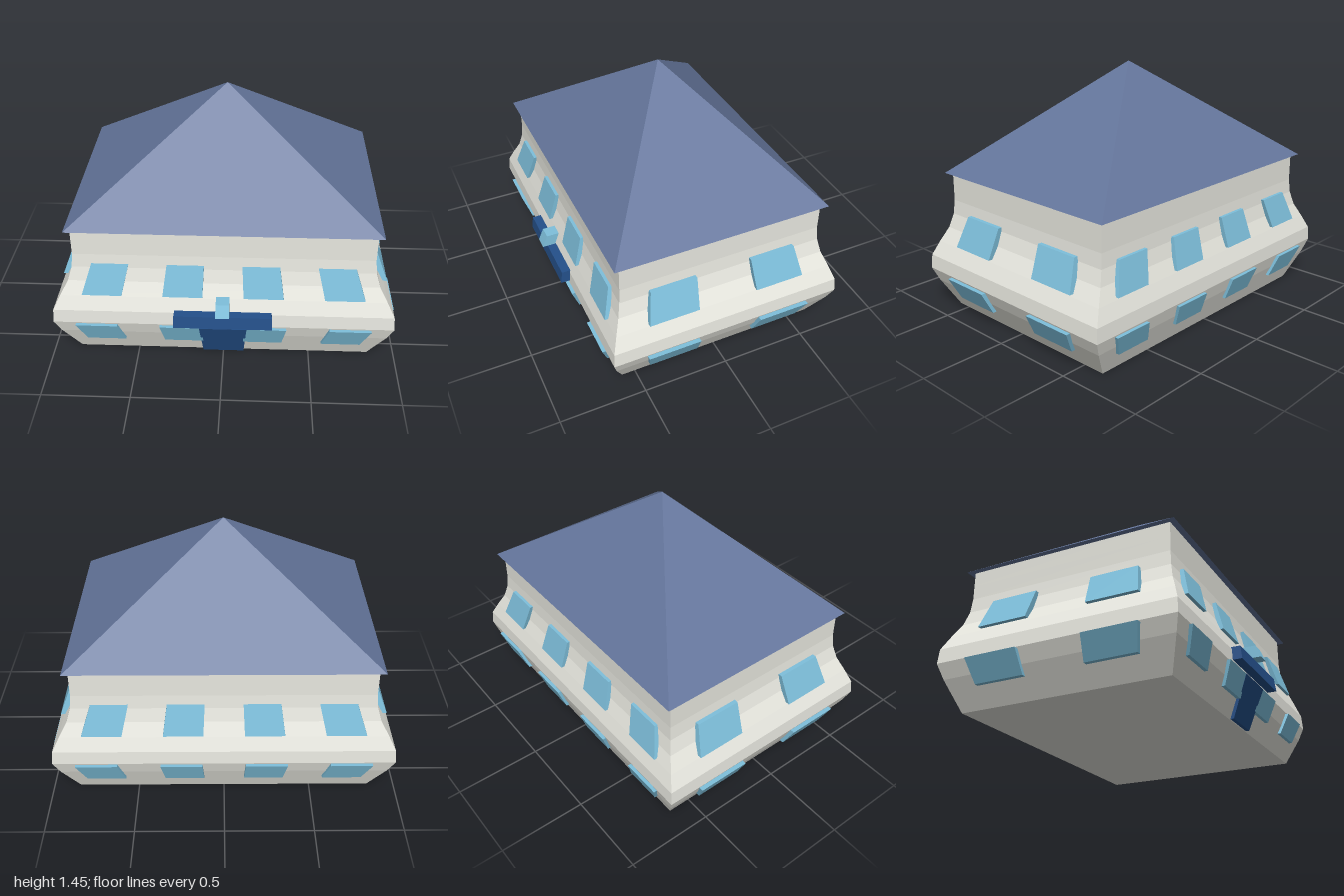
import * as THREE from 'three';

const HEIGHT = 0.83, HALF_X = 0.845, HALF_Z = 0.604, CENTRE_Z = -0.027;
// How far the walls swell, at eleven even heights from ground to eaves
const SWELL = [1, 1.055, 1.11, 1.153, 1.145, 1.095, 1.04, 1.01, 1, 1, 1];

function swellAt(y) {
  const t = THREE.MathUtils.clamp((y / HEIGHT) * 10, 0, 10);
  const i = Math.min(Math.floor(t), 9);
  return THREE.MathUtils.lerp(SWELL[i], SWELL[i + 1], t - i);
}

const paint = (color) => new THREE.MeshStandardMaterial({ color, flatShading: true });

export function createModel() {
  const house = new THREE.Group();
  house.name = 'house';
  const wall = paint(0xe8e8e0), glass = paint(0x7ec0dc), navy = paint(0x24508a), slate = paint(0x64759b);

  // A box between two corners, swollen sideways by the same rule as the walls
  function swollenBox(name, material, [x0, x1], [y0, y1], [z0, z1], rows = 1) {
    const g = new THREE.BoxGeometry(x1 - x0, y1 - y0, z1 - z0, 1, rows, 1);
    g.translate((x0 + x1) / 2, (y0 + y1) / 2, (z0 + z1) / 2);
    const p = g.attributes.position;
    for (let i = 0; i < p.count; i++) {
      const s = swellAt(p.getY(i));
      p.setXYZ(i, p.getX(i) * s, p.getY(i), p.getZ(i) * s + CENTRE_Z);
    }
    g.computeVertexNormals();
    const mesh = new THREE.Mesh(g, material);
    mesh.name = name;
    house.add(mesh);
  }

  // Bulging walls
  swollenBox('walls', wall, [-HALF_X, HALF_X], [0, HEIGHT], [-HALF_Z, HALF_Z], 10);

  // Two floors of windows: four on front and back, two on each side
  const floors = { lower: [0.11, 0.24], upper: [0.43, 0.605] };
  for (const [floor, ys] of Object.entries(floors)) {
    for (const x of [-0.632, -0.211, 0.211, 0.632]) {
      const xs = [x - 0.104, x + 0.104];
      swollenBox(floor + 'FrontWindow', glass, xs, ys, [0.594, 0.622]);
      swollenBox(floor + 'BackWindow', glass, xs, ys, [-0.622, -0.594]);
    }
    for (const z of [-0.3, 0.3]) {
      const zs = [z - 0.136, z + 0.136];
      swollenBox(floor + 'LeftWindow', glass, [0.832, 0.868], ys, zs);
      swollenBox(floor + 'RightWindow', glass, [-0.868, -0.832], ys, zs);
    }
  }

  // Entrance: door, awning and lamp
  swollenBox('door', navy, [-0.118, 0.118], [0.005, 0.24], [0.585, 0.624]);
  swollenBox('awning', navy, [-0.243, 0.243], [0.27, 0.345], [0.595, 0.65]);
  swollenBox('lamp', glass, [-0.035, 0.035], [0.365, 0.437], [0.62, 0.688]);

  // Pyramid roof with overhanging eaves
  const roofGeometry = new THREE.ConeGeometry(Math.SQRT2, 0.622, 4);
  roofGeometry.rotateY(Math.PI / 4).scale(0.877, 1, 0.639);
  const roof = new THREE.Mesh(roofGeometry, slate);
  roof.name = 'roof';
  roof.position.set(0, 0.828 + 0.311, CENTRE_Z);
  house.add(roof);

  return house;
}
